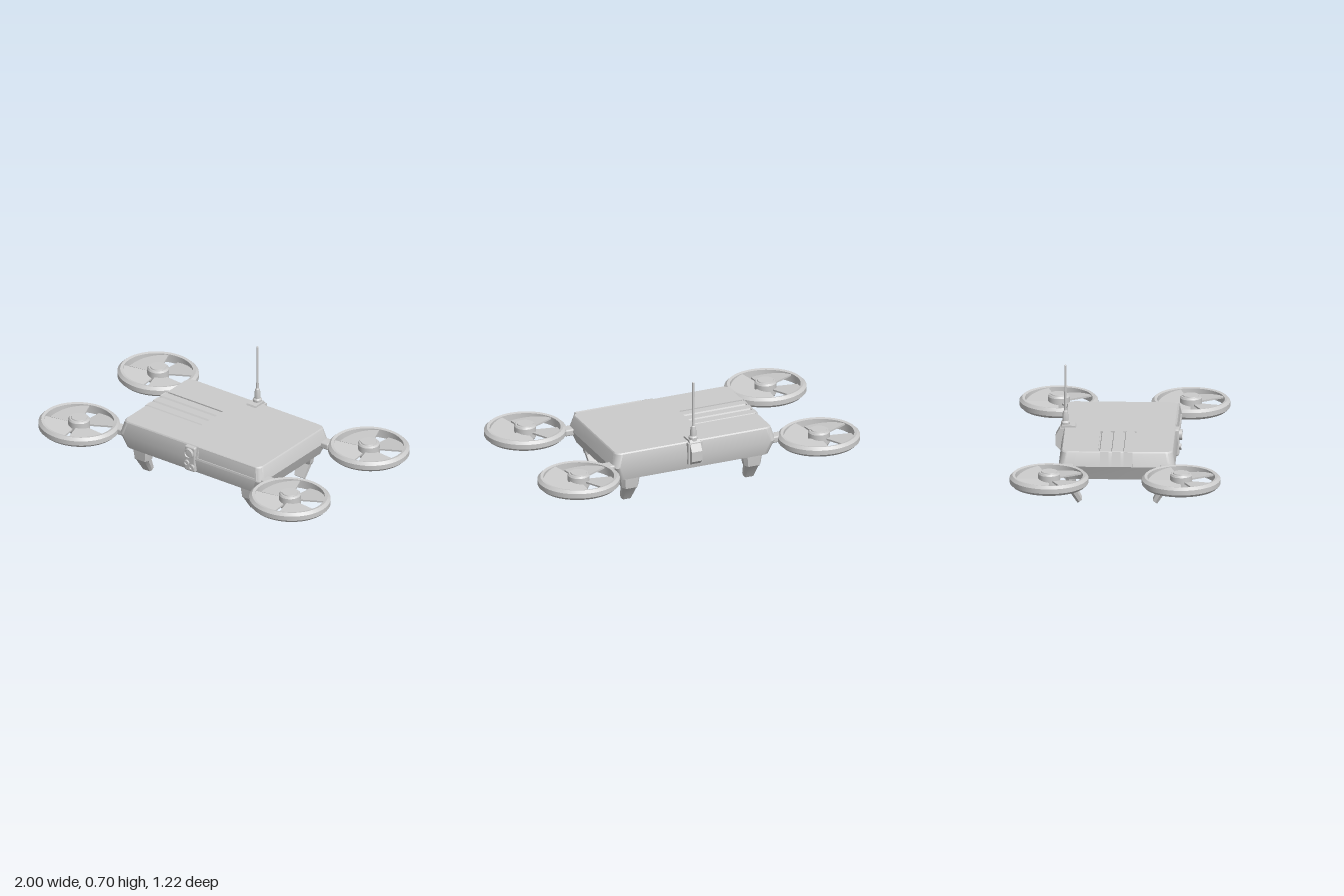
import * as THREE from 'three';
import { toCreasedNormals } from 'three/addons/utils/BufferGeometryUtils.js';
import { RoundedBoxGeometry } from 'three/addons/geometries/RoundedBoxGeometry.js';

const material = new THREE.MeshStandardMaterial({ color: 0xcccccc });

function add(parent, name, geometry, x = 0, y = 0, z = 0) {
  const mesh = new THREE.Mesh(geometry, material);
  mesh.name = name;
  mesh.position.set(x, y, z);
  parent.add(mesh);
  return mesh;
}

const box = (w, h, d) => new THREE.BoxGeometry(w, h, d);
const v2 = (pts) => pts.map(([x, y]) => new THREE.Vector2(x, y));
const lathe = (pts, n) => toCreasedNormals(new THREE.LatheGeometry(v2(pts), n), 0.5);
const extrude = (shape, depth) =>
  new THREE.ExtrudeGeometry(shape, { depth, bevelEnabled: false, curveSegments: 12 });

// Prism with a (z, y) profile, centred on x = 0
function prism(profile, width) {
  const shape = new THREE.Shape(v2(profile.map(([z, y]) => [-z, y])));
  return extrude(shape, width).translate(0, 0, -width / 2).rotateY(Math.PI / 2);
}

// Skin through rings running counter-clockwise seen from above
function loft(rings, capStart, capEnd) {
  const pos = [], n = rings[0].length, last = rings[rings.length - 1];
  const tri = (...pts) => pts.forEach((p) => pos.push(...p));
  const centre = (r) => [0, 1, 2].map((k) => r.reduce((s, p) => s + p[k], 0) / n);
  for (let i = 0; i < n; i++) {
    const j = (i + 1) % n;
    for (let k = 0; k + 1 < rings.length; k++) {
      const a = rings[k], b = rings[k + 1];
      tri(a[i], a[j], b[j]);
      tri(a[i], b[j], b[i]);
    }
    if (capStart) tri(centre(rings[0]), rings[0][j], rings[0][i]);
    if (capEnd) tri(centre(last), last[i], last[j]);
  }
  const g = new THREE.BufferGeometry();
  g.setAttribute('position', new THREE.Float32BufferAttribute(pos, 3));
  g.computeVertexNormals();
  return toCreasedNormals(g, 0.5);
}

// Rounded rectangle as [x, -z] points
function roundedRect(hx, hz, r = 0.04) {
  const pts = [];
  for (let q = 0; q < 4; q++) {
    const sx = q === 0 || q === 3 ? 1 : -1, sz = q < 2 ? 1 : -1;
    for (let i = 0; i <= 5; i++) {
      const a = (q + i / 5) * Math.PI / 2;
      pts.push([sx * (hx - r) + r * Math.cos(a), sz * (hz - r) + r * Math.sin(a)]);
    }
  }
  return pts;
}

const rectPath = (x0, y0, x1, y1) =>
  new THREE.Path(v2([[x0, y0], [x0, y1], [x1, y1], [x1, y0]]));

function makeBody() {
  const body = new THREE.Group();
  body.name = 'body';
  const ring = (y, hx, hz) => roundedRect(hx, hz).map(([x, w]) => [x, y, -w]);
  // Shell with a shallow lip around the underside
  add(body, 'shell', loft([
    ring(0.174, 0.472, 0.31), ring(0.165, 0.472, 0.31), ring(0.165, 0.48, 0.318),
    ring(0.25, 0.515, 0.337), ring(0.328, 0.494, 0.322), ring(0.335, 0.488, 0.316),
  ], true, false));

  // Top plate with an opening for the louvres
  const top = new THREE.Shape(v2(roundedRect(0.488, 0.316)));
  top.holes.push(rectPath(-0.483, -0.1, -0.09, 0.11));
  add(body, 'topPlate', extrude(top, 0.02).rotateX(-Math.PI / 2), 0, 0.315, 0);

  // Louvre slats with shallow grooves, carried down the end by ribs
  const slats = [[-0.11, -0.02], [-0.11, -0.008]];
  for (let i = 0; i < 3; i++) {
    const z = -0.102 + i * 0.069;
    slats.push([z, -0.008], [z + 0.004, 0], [z + 0.05, 0], [z + 0.058, -0.008]);
    const rib = add(body, 'endRib', box(0.012, 0.085, 0.05), -0.502, 0.292, z + 0.029);
    rib.rotation.z = -0.27;
  }
  slats.push([0.1, -0.008], [0.1, -0.02]);
  add(body, 'louvres', prism(slats, 0.393), -0.2865, 0.335, 0);

  // Frame on the sloping front face
  const frame = new THREE.Shape(v2([[0.05, 0.006], [0.488, 0.006], [0.47, 0.086], [0.05, 0.086]]));
  frame.holes.push(new THREE.Path(v2([[0.062, 0.018], [0.062, 0.076], [0.46, 0.076], [0.473, 0.018]])));
  add(body, 'frontFrame', extrude(frame, 0.012), 0, 0.25, 0.332).rotation.x = -0.19;

  // Hatch on the underside
  const hatch = new THREE.Shape(v2([[-0.34, -0.1], [-0.15, -0.1], [-0.15, 0.1], [-0.34, 0.1]]));
  hatch.holes.push(rectPath(-0.325, -0.085, -0.165, 0.085));
  add(body, 'hatchFrame', extrude(hatch, 0.03).rotateX(-Math.PI / 2), 0, 0.155, 0);
  add(body, 'hatchLatch', box(0.04, 0.02, 0.06), -0.3, 0.168, 0);
  return body;
}

function makeRotor() {
  const rotor = new THREE.Group();
  // Guard ring is slightly wider across than front to back
  add(rotor, 'guardRing', lathe([
    [0.196, -0.026], [0.212, -0.03], [0.228, -0.014], [0.228, 0.014],
    [0.212, 0.03], [0.196, 0.026], [0.196, -0.026],
  ], 48).scale(1.055, 1, 1));
  add(rotor, 'hub', lathe([
    [0, -0.05], [0.05, -0.05], [0.054, -0.046], [0.064, -0.03],
    [0.064, 0.036], [0.056, 0.046], [0.048, 0.046], [0.046, 0.052], [0, 0.052],
  ], 24));
  // Wide pitched blades
  const sector = new THREE.Shape();
  sector.absarc(0, 0, 0.204, -0.63, 0.63, false);
  sector.absarc(0, 0, 0.05, 0.63, -0.63, true);
  const blade = extrude(sector, 0.01).rotateX(-Math.PI / 2);
  const p = blade.attributes.position;
  for (let i = 0; i < p.count; i++) p.setY(i, p.getY(i) - 0.005 + 0.15 * p.getZ(i));
  blade.computeVertexNormals();
  for (let k = 0; k < 4; k++) add(rotor, 'blade', blade).rotation.y = 0.96 + k * Math.PI / 2;
  return rotor;
}

// Bent, tapering leg with a bevelled outer face; side is +1 for front, -1 for back
function legGeometry(side) {
  // y outer, z outer, y inner, z inner, half width
  const cuts = [
    [0, 0.231, 0.02, 0.205, 0.034], [0.086, 0.288, 0.095, 0.243, 0.045],
    [0.094, 0.296, 0.1, 0.241, 0.051], [0.165, 0.302, 0.165, 0.243, 0.062], [0.18, 0.302, 0.18, 0.243, 0.062],
  ];
  return loft(cuts.map(([yo, zo, yi, zi, w]) => {
    const ym = yo + (yi - yo) * 0.4, zm = zo + (zi - zo) * 0.4;
    const r = [
      [w * 0.7, yo, zo], [w, ym, zm], [w, yi, zi], [-w, yi, zi], [-w, ym, zm], [-w * 0.7, yo, zo],
    ].map(([x, y, z]) => [x, y, z * side]);
    return side > 0 ? r : r.reverse();
  }), true, true);
}

export function createModel() {
  const model = new THREE.Group();
  model.name = 'quadcopter';
  model.add(makeBody());

  // Rotors, arms and legs at the four corners
  for (const sz of [1, -1]) {
    const leg = legGeometry(sz);
    for (const sx of [1, -1]) {
      const rotor = makeRotor();
      rotor.name = 'rotor';
      rotor.position.set(sx * 0.7595, 0.246, sz * 0.382);
      model.add(rotor);
      add(model, 'arm', new RoundedBoxGeometry(0.075, 0.04, 0.07, 2, 0.01), sx * 0.525, 0.246, sz * 0.285);
      add(model, 'leg', leg, sx * 0.387, 0, 0);
    }
  }

  // Front sensor column with one large and two small lenses
  add(model, 'sensorColumn', new RoundedBoxGeometry(0.076, 0.16, 0.04, 2, 0.01), 0.006, 0.25, 0.323);
  const eye = (x, y, r, z) => add(model, 'lens', lathe([
    [0, -0.03], [r, -0.03], [r, 0], [r * 0.75, 0], [r * 0.65, -0.006], [0, -0.003],
  ], 20).rotateX(Math.PI / 2), x, y, z);
  eye(0.006, 0.29, 0.031, 0.36);
  eye(-0.01, 0.225, 0.016, 0.355);
  eye(0.026, 0.206, 0.016, 0.355);

  // Belly camera
  add(model, 'bellyCamera', lathe([
    [0, 0.122], [0.036, 0.118], [0.04, 0.114], [0.052, 0.114], [0.052, 0.152],
    [0.044, 0.155], [0.06, 0.16], [0.066, 0.168], [0.066, 0.18], [0, 0.18],
  ], 28), -0.025, 0, 0);

  // Antenna with its bracket over the rear edge
  add(model, 'antennaBracket', prism([
    [-0.25, 0.33], [-0.258, 0.345], [-0.335, 0.348], [-0.372, 0.285],
    [-0.372, 0.225], [-0.345, 0.2], [-0.3, 0.2], [-0.3, 0.33],
  ], 0.066), 0.006, 0, 0);
  add(model, 'bracketFlange', box(0.09, 0.13, 0.03), 0.006, 0.267, -0.332);
  add(model, 'antenna', lathe([
    [0, 0.34], [0.026, 0.34], [0.026, 0.36], [0.018, 0.368], [0.018, 0.4], [0.013, 0.425],
    [0.008, 0.43], [0.007, 0.48], [0.006, 0.7], [0.003, 0.705], [0, 0.705],
  ], 16), 0.006, 0, -0.316);
  return model;
}
